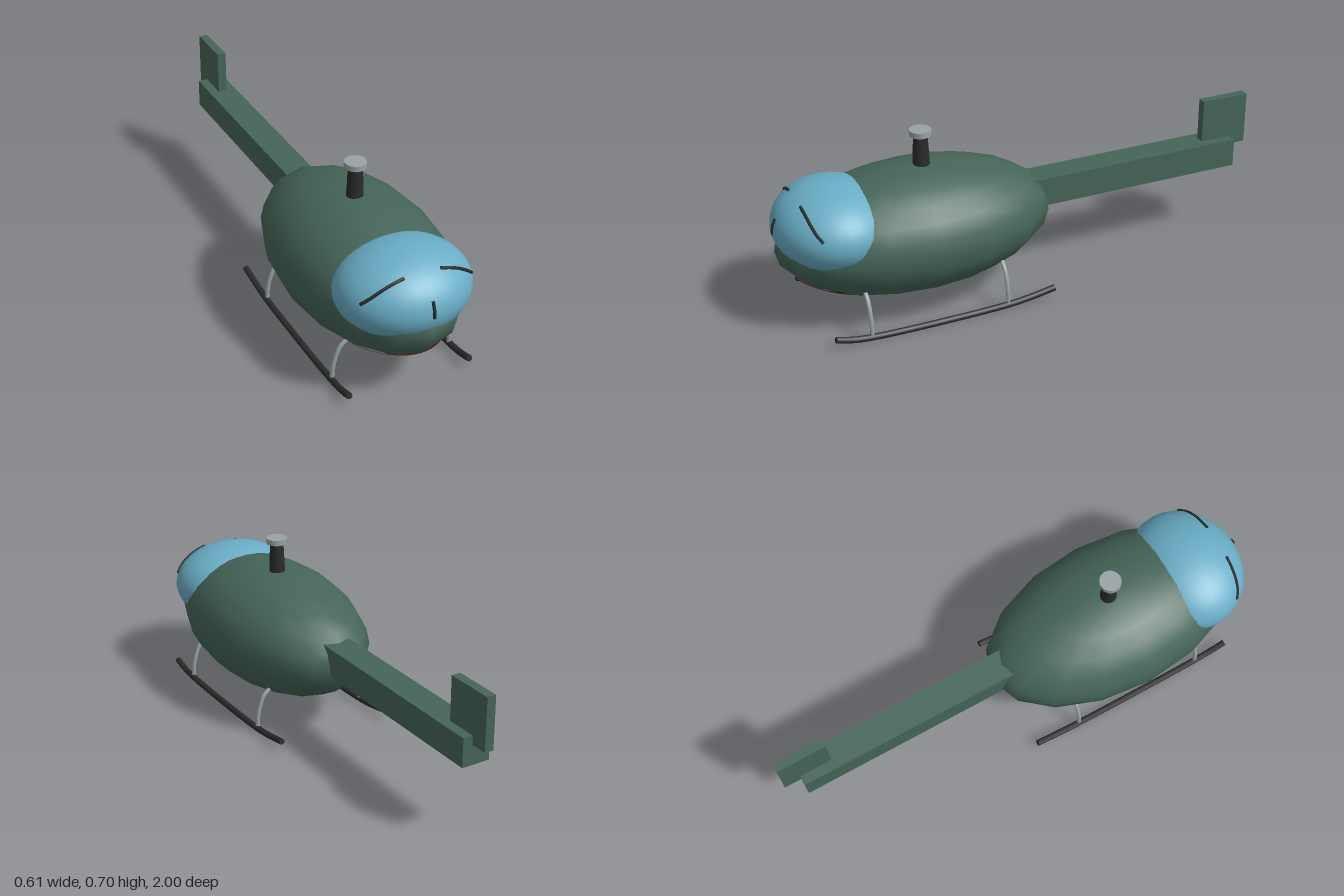
import * as THREE from 'three';

const mat = (name, color, side = THREE.FrontSide) => {
  const m = new THREE.MeshStandardMaterial({ color, side });
  m.name = name;
  return m;
};

export function createModel() {
  const group = new THREE.Group();
  const green = mat('fuselage green', 0x456558);
  const blue = mat('canopy blue', 0x69adc6);
  const dark = mat('dark trim', 0x2b2b2b);
  const grey = mat('metal grey', 0x98a3a6);
  const maroon = mat('maroon', 0x4c2222, THREE.DoubleSide);

  const add = (name, geo, material, x = 0, y = 0, z = 0) => {
    const m = new THREE.Mesh(geo, material);
    m.name = name;
    m.position.set(x, y, z);
    group.add(m);
    return m;
  };
  const V = (p) => new THREE.Vector3(...p);
  const tube = (name, pts, r, material, segs = 16, sides = 8) => {
    const curve = new THREE.CatmullRomCurve3(pts.map(V));
    add(name, new THREE.TubeGeometry(curve, segs, r, sides), material);
    // Close both ends
    for (const t of [0, 1]) {
      const cap = add(name + 'End', new THREE.CircleGeometry(r, sides), material);
      cap.position.copy(curve.getPoint(t));
      cap.lookAt(cap.position.clone().addScaledVector(curve.getTangent(t), t ? 1 : -1));
    }
  };

  // Ellipsoids: centre and radii, with the front surface z at a given x, y
  const body = { c: [0, 0.32, 0.445], r: [0.305, 0.243, 0.55] };
  const glass = { c: [0, 0.395, 0.77], r: [0.255, 0.163, 0.225] };
  const frontZ = ({ c, r }, x, y) =>
    c[2] + r[2] * Math.sqrt(Math.max(0, 1 - (x / r[0]) ** 2 - ((y - c[1]) / r[1]) ** 2));
  const ellipsoid = (name, e, w, h, material) =>
    add(name, new THREE.SphereGeometry(1, w, h).scale(...e.r), material, ...e.c);

  ellipsoid('fuselage', body, 16, 12, green);
  ellipsoid('canopy', glass, 32, 24, blue);

  // Tail
  add('tailBoom', new THREE.BoxGeometry(0.114, 0.115, 0.98), green, 0, 0.3575, -0.44);
  add('tailFin', new THREE.BoxGeometry(0.036, 0.21, 0.2), green, 0, 0.485, -0.9);

  // Rotor mast and hub
  add('mast', new THREE.CylinderGeometry(0.027, 0.034, 0.16, 16), dark, 0, 0.6, 0.41);
  add('hub', new THREE.CylinderGeometry(0.042, 0.042, 0.022, 16), grey, 0, 0.689, 0.41);

  // Dark strips lying on the canopy
  const strip = (name, pts) =>
    tube(name, pts.map(([x, y]) => [x, y, frontZ(glass, x, y)]), 0.0065, dark, 12, 6);
  strip('centreStrip', [[0, 0.392], [0, 0.422], [0, 0.453]]);

  for (const s of [1, -1]) {
    strip('browStrip', [[0.07, 0.519], [0.12, 0.504], [0.165, 0.481], [0.195, 0.459], [0.219, 0.437]]
      .map(([x, y]) => [s * x, y]));
    // Skid and its two bent struts
    tube('skid', [[0.855, 0.043], [0.79, 0.026], [0.7, 0.017], [0.415, 0.0125], [0.15, 0.018], [0.05, 0.03], [-0.03, 0.044]]
      .map(([z, y]) => [s * 0.245, y, z]), 0.0125, dark, 24);
    for (const z of [0.715, 0.165])
      tube('strut', [[0.185, 0.177], [0.212, 0.152], [0.23, 0.11], [0.24, 0.065], [0.243, 0.018]]
        .map(([x, y]) => [s * x, y, z]), 0.0085, grey);
  }

  // Maroon panels wrapped on the nose: a centre band and two flared ends
  const panel = (name, x0, x1, half0, half1) => {
    const g = new THREE.PlaneGeometry(1, 2, 8, 3);
    const p = g.attributes.position;
    for (let i = 0; i < p.count; i++) {
      const t = p.getX(i) + 0.5;
      const x = x0 + (x1 - x0) * t;
      const y = 0.177 + p.getY(i) * (half0 + (half1 - half0) * t);
      p.setXYZ(i, x, y, frontZ(body, x, y) + 0.004);
    }
    g.computeVertexNormals();
    add(name, g, maroon);
  };
  panel('noseBand', -0.095, 0.095, 0.019, 0.019);
  panel('noseBandLeft', 0.095, 0.17, 0.01, 0.019);
  panel('noseBandRight', -0.17, -0.095, 0.019, 0.01);

  return group;
}
